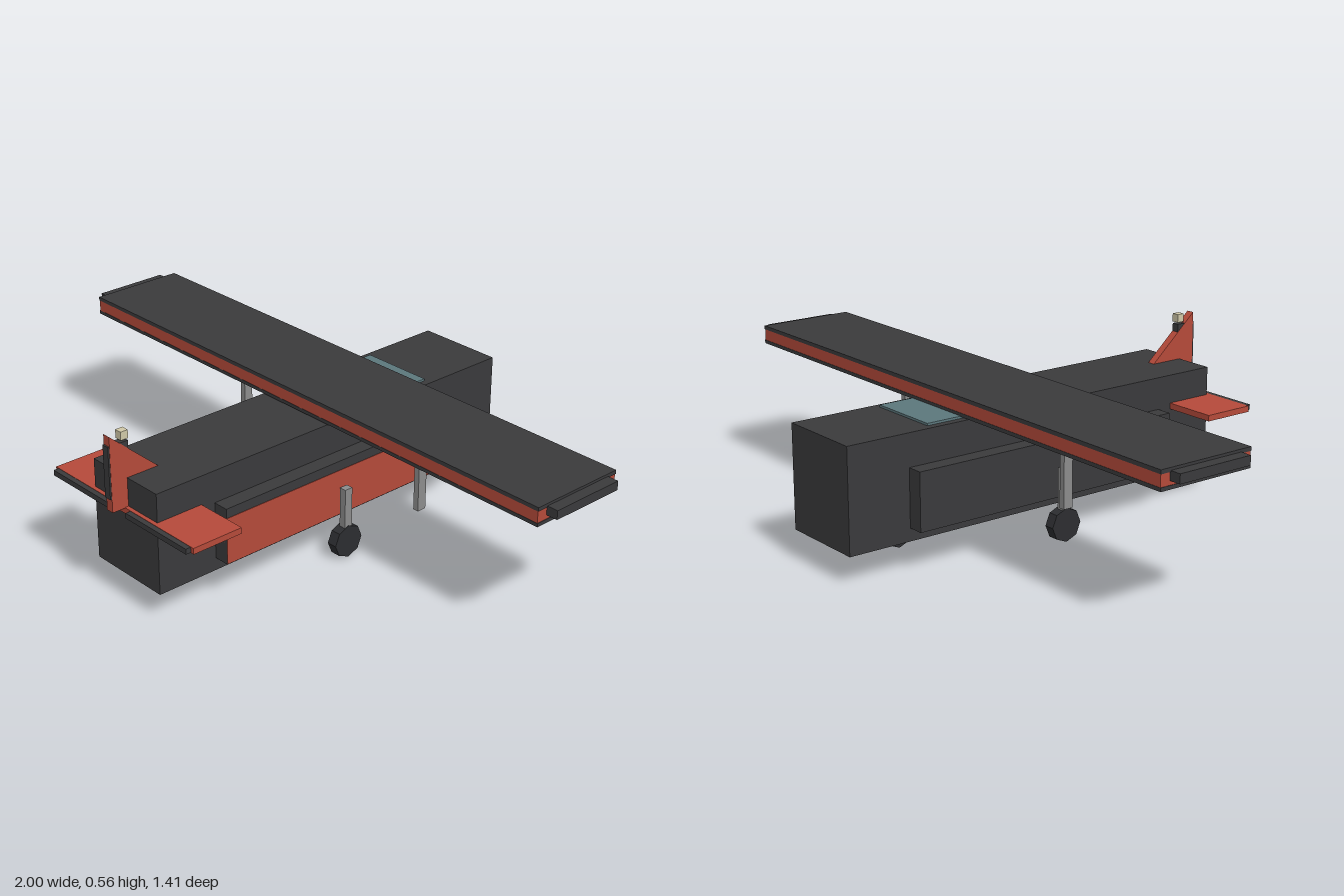
import * as THREE from 'three';

const mat = (color) => new THREE.MeshStandardMaterial({ color, flatShading: true });

export function createModel() {
  const model = new THREE.Group();
  const dark = mat(0x3a3a3c), red = mat(0xb54a3a), tyre = mat(0x2c2d30);
  const metal = mat(0x8c8c8c), glass = mat(0x5c777c), lamp = mat(0xd0c8a8);

  const add = (name, geometry, material) => {
    const mesh = new THREE.Mesh(geometry, material);
    mesh.name = name;
    model.add(mesh);
    return mesh;
  };
  // Box given by its low and high limits on each axis
  const box = (name, material, [x0, x1], [y0, y1], [z0, z1]) =>
    add(name, new THREE.BoxGeometry(x1 - x0, y1 - y0, z1 - z0), material)
      .position.set((x0 + x1) / 2, (y0 + y1) / 2, (z0 + z1) / 2);
  // The same box on both sides
  const pair = (name, material, [x0, x1], y, z) => {
    box(name + 'Left', material, [x0, x1], y, z);
    box(name + 'Right', material, [-x1, -x0], y, z);
  };
  // Side profile of [z, y] points, extruded from x0 to x1
  const plate = (name, material, points, x0, x1) => {
    const shape = new THREE.Shape(points.map(([z, y]) => new THREE.Vector2(-z, y)));
    const geometry = new THREE.ExtrudeGeometry(shape, { depth: x1 - x0, bevelEnabled: false });
    geometry.rotateY(Math.PI / 2).translate(x0, 0, 0);
    return add(name, geometry, material);
  };
  const wheel = (name, x, y, z, radius, width) => {
    const geometry = new THREE.CylinderGeometry(radius, radius, width, 8).rotateZ(Math.PI / 2);
    add(name, geometry, tyre).position.set(x, y, z);
  };

  // Fuselage, side panels and windscreen
  box('fuselage', dark, [-0.143, 0.143], [0.09, 0.412], [-0.705, 0.645]);
  pair('sidePanel', dark, [0.143, 0.194], [0.13, 0.31], [-0.5, 0.44]);
  plate('sideStripe', red,
    [[0.44, 0.132], [-0.5, 0.132], [-0.18, 0.28], [0.44, 0.28]], 0.18, 0.1955);
  box('windscreen', glass, [-0.12, 0.12], [0.405, 0.419], [-0.42, -0.29]);

  // Wing: red core between dark skins, with tips and struts
  box('wingCore', red, [-0.963, 0.963], [0.428, 0.464], [-0.302, 0.013]);
  box('wingTopSkin', dark, [-0.965, 0.965], [0.464, 0.476], [-0.303, 0.014]);
  box('wingBottomSkin', dark, [-0.965, 0.965], [0.417, 0.428], [-0.303, 0.014]);
  pair('wingTip', dark, [0.96, 1], [0.44, 0.468], [-0.27, -0.022]);
  pair('wingStrut', metal, [0.381, 0.4], [0.18, 0.42], [-0.15, -0.119]);

  // Landing gear
  pair('gearLeg', metal, [0.207, 0.23], [0.05, 0.23], [-0.014, 0.014]);
  wheel('mainWheelLeft', 0.215, 0.053, 0, 0.053, 0.034);
  wheel('mainWheelRight', -0.215, 0.053, 0, 0.053, 0.034);
  wheel('noseWheel', 0, 0.064, -0.45, 0.043, 0.026);

  // Tailplane, fin, rudder and tail light
  box('stabilizer', red, [-0.317, 0.317], [0.303, 0.322], [0.488, 0.658]);
  pair('elevator', dark, [0.038, 0.305], [0.304, 0.321], [0.658, 0.675]);
  plate('fin', red,
    [[0.7, 0.32], [0.53, 0.32], [0.53, 0.407], [0.7, 0.557]], -0.013, 0.013);
  box('rudder', dark, [-0.012, 0.012], [0.362, 0.526], [0.636, 0.705]);
  box('tailLight', lamp, [-0.012, 0.012], [0.532, 0.558], [0.635, 0.66]);

  return model;
}
